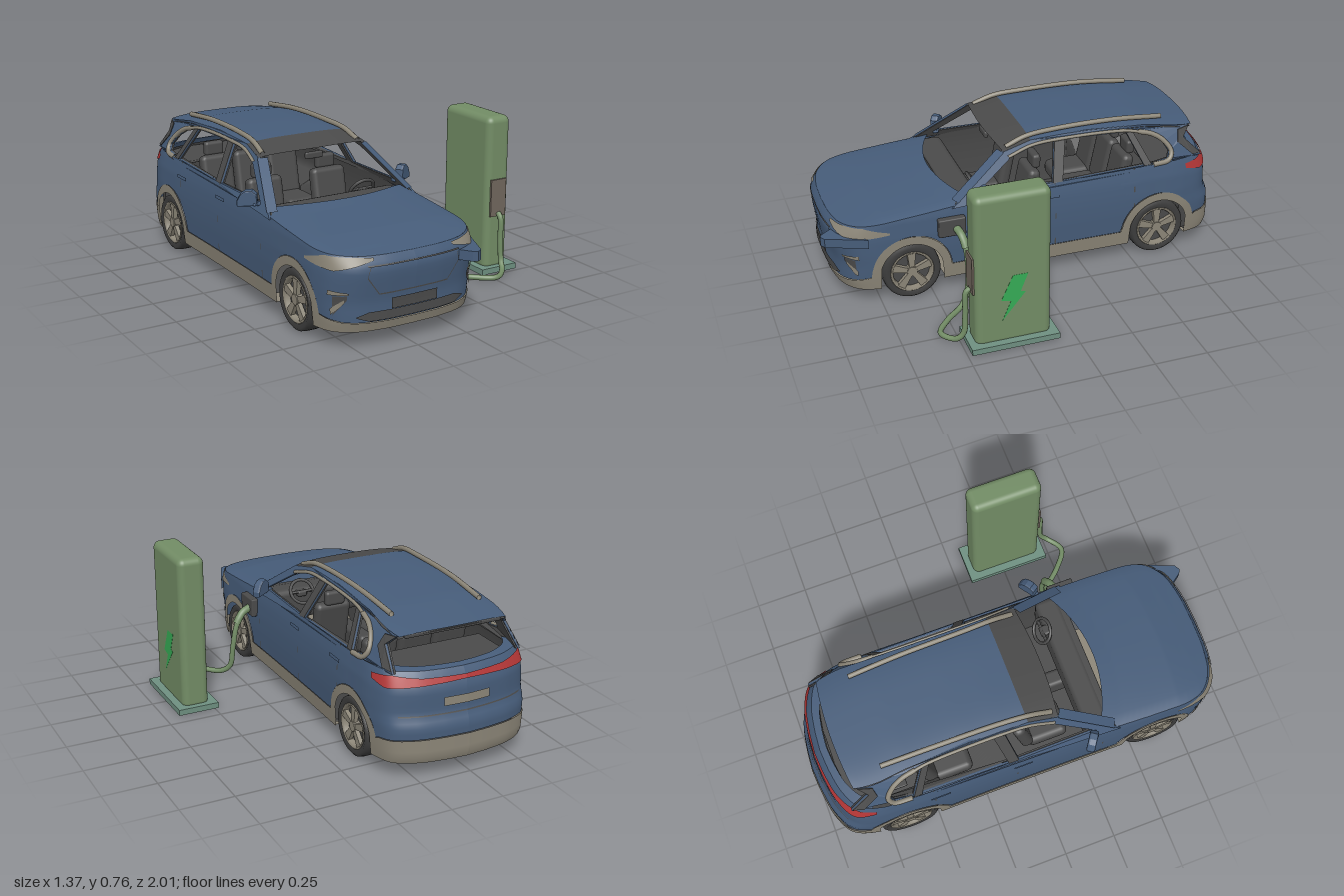
import * as THREE from 'three';
import { RoundedBoxGeometry } from 'three/addons/geometries/RoundedBoxGeometry.js';

const mat = (name, color) => new THREE.MeshStandardMaterial({ name, color, side: THREE.DoubleSide });
const V = (x, y, z) => new THREE.Vector3(x, y, z);

// piecewise linear lookup in [[key, value], ...]
function lookup(t, x) {
  if (x <= t[0][0]) return t[0][1];
  for (let k = 1; k < t.length; k++) if (x <= t[k][0])
    return t[k - 1][1] + (t[k][1] - t[k - 1][1]) * (x - t[k - 1][0]) / (t[k][0] - t[k - 1][0]);
  return t[t.length - 1][1];
}

// smooth grid surface from a function of u, v
function sheet(fn, nu, nv) {
  const pos = [], idx = [];
  for (let j = 0; j <= nv; j++) for (let i = 0; i <= nu; i++) pos.push(...fn(i / nu, j / nv));
  for (let j = 0; j < nv; j++) for (let i = 0; i < nu; i++) {
    const a = j * (nu + 1) + i, b = a + nu + 1;
    idx.push(a, a + 1, b + 1, a, b + 1, b);
  }
  const g = new THREE.BufferGeometry();
  g.setAttribute('position', new THREE.Float32BufferAttribute(pos, 3));
  g.setIndex(idx);
  g.computeVertexNormals();
  return g;
}

export function createModel() {
  const blue = mat('body blue', 0x465c79), tan = mat('cladding grey', 0x8b8577), dark = mat('interior dark', 0x4a4a4a);
  const rubber = mat('tyre', 0x3d3d3d), red = mat('tail light red', 0xb23636), green = mat('charger green', 0x728c65);
  const teal = mat('base teal', 0x6e8f80), bright = mat('bolt green', 0x36ab55), brown = mat('socket brown', 0x70665c);

  const model = new THREE.Group(), car = new THREE.Group(), charger = new THREE.Group();
  car.name = 'car'; charger.name = 'chargingStation';
  car.position.x = -0.235;
  model.add(car, charger);
  const add = (parent, name, geo, m, x = 0, y = 0, z = 0) => {
    const mesh = new THREE.Mesh(geo, m);
    mesh.name = name; mesh.position.set(x, y, z);
    parent.add(mesh);
    return mesh;
  };
  const pair = (name, geo, m) => { add(car, name + 'Left', geo, m); add(car, name + 'Right', geo, m).scale.x = -1; };
  const box = (w, h, d, r = 0.012) => new RoundedBoxGeometry(w, h, d, 2, r);
  const tube = (pts, r, n = 48) => new THREE.TubeGeometry(new THREE.CatmullRomCurve3(pts.map(p => V(...p))), n, r, 10);

  // half plan outline, nose to tail
  const N = 400;
  const H = new THREE.CatmullRomCurve3([[0, .96], [.15, .953], [.27, .925], [.345, .865], [.376, .78], [.385, .6], [.383, .2],
    [.383, -.2], [.385, -.6], [.374, -.8], [.335, -.91], [.24, -.965], [.12, -.99], [0, -1]].map(p => V(p[0], 0, p[1]))).getSpacedPoints(N);
  const iz = z => H.findIndex(p => p.z <= z);
  const ix = x => H.findIndex(p => p.x >= x);
  const ixRear = x => N - [...H].reverse().findIndex(p => p.x >= x);

  // body section rules over height, and edge lines over z
  const WX = [[.07, .965], [.15, .985], [.25, 1], [.33, 1], [.41, .985], [.47, .955], [.5, .935]];
  const ZF = [[.07, .97], [.12, .985], [.2, .982], [.32, 1], [.36, 1], [.41, .965]];
  const ZR = [[.07, .985], [.1, 1], [.24, 1], [.29, .975], [.4, .972], [.46, .945], [.5, .91]];
  const BELT = [[-1, .475], [-.8, .486], [-.5, .483], [-.2, .477], [.2, .47], [.4, .447], [.6, .43], [.85, .41], [.96, .398]];
  const CLAD = [[-1, .19], [-.85, .18], [-.78, .15], [.75, .15], [.9, .12], [.96, .115]];
  const P = (p, y, g = 0) => {
    const k = THREE.MathUtils.smoothstep(Math.abs(p.z), .6, .95);
    return [p.x * lookup(WX, y) * (1 + g), y, p.z * (1 + (lookup(p.z > 0 ? ZF : ZR, y) - 1) * k) * (1 + g)];
  };
  const axles = [.6, -.64];
  const arch = (z, R) => Math.max(0, ...axles.map(a => Math.abs(z - a) < R ? .14 + Math.sqrt(R * R - (z - a) ** 2) : 0));
  const belt = p => lookup(BELT, p.z);
  const sill = p => Math.max(.075, arch(p.z, .152));
  const cladTop = p => Math.max(lookup(CLAD, p.z), arch(p.z, .193));
  // strip lying on the body between outline indexes and two height rules
  const strip = (name, m, i0, i1, lo, hi, g = .006, nv = 2) => pair(name, sheet((u, v) => {
    const p = H[Math.round(i0 + (i1 - i0) * u)], a = lo(p, u), b = hi(p, u);
    return P(p, a + (b - a) * v, g);
  }, Math.max(2, Math.min(N, i1 - i0)), nv), m);
  const ramp = (...pts) => (p, u) => lookup(pts, u);

  // lower body and cladding
  strip('bodySide', blue, 0, N, cladTop, belt, 0, 12);
  strip('cladding', tan, 0, N, sill, cladTop, .006, 4);
  // hood with crown and bowed rear edge, rim below the rear window
  const hoodEnd = iz(.3), tailStart = iz(-.84);
  add(car, 'hood', sheet((u, v) => {
    const p = H[Math.round(hoodEnd * (1 - v))], s = 2 * u - 1, [x, y, z] = P(p, belt(p)), c = 1 - s * s;
    return [x * s, y + .022 * Math.sqrt(Math.max(0, c)) * Math.min(1, (.96 - p.z) * 4), z + .11 * c * (1 - v) ** 2];
  }, 28, 60), blue);
  pair('rearWindowRim', sheet((u, v) => {
    const p = H[Math.round(tailStart + (N - tailStart) * u)], [x, y, z] = P(p, belt(p));
    return [x * (1 - .13 * v), y + .006 * v, z * (1 - .035 * v)];
  }, 60, 2), blue);
  // underbody, cabin floor and lining, narrowed at the wheels
  const inner = (p, x, y) => arch(p.z, .16) && y < .31 ? Math.min(x, .262) : x;
  const floor = (i0, y0) => sheet((u, v) => {
    const p = H[Math.round(i0 + (N - i0) * v)], [x, y, z] = P(p, y0);
    return [(2 * u - 1) * inner(p, x, y), y, z];
  }, 2, N - i0);
  add(car, 'underbody', floor(0, .075), tan);
  const cabin = iz(.38);
  add(car, 'cabinFloor', floor(cabin, .088), dark);
  pair('cabinLining', sheet((u, v) => {
    const p = H[Math.round(cabin + (N - cabin) * u)], [x, y, z] = P(p, .088 + (belt(p) - .1) * v, -.05);
    return [inner(p, x, y), y, z];
  }, N - cabin, 8), dark);
  add(car, 'parcelShelf', box(.58, .012, .28, .005), dark, 0, .445, -.75);

  // greenhouse sides with open windows
  const poly = pts => new THREE.Shape(pts.map(p => new THREE.Vector2(...p)));
  const lean = (y, z) => .363 - (y - .47) * .52 - 1.25 * Math.max(0, -z - .7) ** 2;
  const sidePlate = (shape, depth, out) => {
    const g = new THREE.ExtrudeGeometry(shape, { depth, bevelEnabled: false }).rotateY(-Math.PI / 2);
    const a = g.attributes.position;
    for (let i = 0; i < a.count; i++) a.setX(i, a.getX(i) + lean(a.getY(i), a.getZ(i)) + out);
    g.computeVertexNormals();
    return g;
  };
  const frame = poly([[.4, .44], [.35, .475], [.12, .637], [-.02, .668], [-.3, .673], [-.6, .657], [-.7, .642], [-.83, .62], [-.79, .575], [-.885, .475], [-.5, .465], [.1, .455]]);
  frame.holes = [
    [[.28, .482], [.09, .607], [-.02, .638], [-.134, .646], [-.097, .477]],
    [[-.145, .477], [-.187, .648], [-.497, .637], [-.565, .484]],
    [[-.532, .634], [-.62, .607], [-.675, .572], [-.703, .525], [-.69, .497], [-.602, .485]],
  ].map(poly);
  pair('windowFrame', sidePlate(frame, .01, .004), blue);
  pair('windowFrameLining', sidePlate(frame, .008, -.008), dark);
  pair('centrePillar', sidePlate(poly([[-.097, .477], [-.145, .477], [-.187, .648], [-.134, .646]]), .004, .008), dark);
  pair('rearPillar', sidePlate(poly([[-.565, .484], [-.602, .485], [-.532, .634], [-.497, .637]]), .004, .008), dark);
  pair('rearGlassFin', sidePlate(poly([[-.765, .612], [-.83, .617], [-.79, .575], [-.88, .485], [-.83, .49], [-.755, .56]]), .004, .008), dark);
  const trim = (pts, r) => tube(pts.map(([z, y]) => [lean(y, z) + .005, y, z]), r);
  pair('windowTrim', trim([[.1, .612], [-.02, .645], [-.16, .653], [-.5, .643], [-.6, .62]], .008), tan);
  pair('quarterWindowTrim', trim([[-.56, .632], [-.63, .612], [-.685, .575], [-.714, .525], [-.695, .492], [-.61, .482]], .012), tan);
  // windscreen pillars facing forward
  pair('windscreenPillar', sheet((u, v) => {
    const z = .37 - .25 * u, y = .462 + .173 * u;
    return [lean(y, z) + .01 - .042 * v, y + .004 * v, z + .02 * v];
  }, 8, 2), blue);

  // roof, dark front band, lining and rails
  const EDGE = [[-.86, .617], [-.6, .657], [-.3, .671], [-.15, .672], [-.02, .668], [.13, .634]];
  const roof = (z0, z1, bow, drop = 0) => sheet((u, v) => {
    const s = 2 * u - 1, z = z0 + (z1 - z0) * v, y = lookup(EDGE, z);
    return [s * (lean(y, z) + .006), y + .012 * (1 - s ** 4) - drop, z + bow * v * (1 - s * s)];
  }, 20, 20);
  add(car, 'roof', roof(-.02, -.845, -.02), blue);
  add(car, 'roofLining', roof(-.02, -.84, -.015, .012), dark);
  add(car, 'windscreenBand', roof(-.02, .12, .02), dark);
  add(car, 'spoilerLip', box(.48, .018, .03, .006), dark, 0, .616, -.835);
  pair('roofRail', tube([[.25, .645, .1], [.242, .68, 0], [.234, .691, -.15], [.229, .689, -.45], [.222, .665, -.7]], .012), tan);

  // lights, grille, plates and seams
  strip('headlight', tan, ix(.19), iz(.7), ramp([0, .384], [.5, .346], [1, .36]), ramp([0, .394], [.3, .4], [.6, .404], [1, .37]));
  strip('tailLight', red, iz(-.8), ixRear(.2), ramp([0, .435], [.35, .414], [1, .422]), ramp([0, .458], [.5, .466], [1, .452]), .008);
  strip('lightBar', red, ixRear(.2), N, ramp([0, .422], [1, .43]), ramp([0, .452], [1, .448]), .008);
  strip('lowerGrille', dark, 0, ix(.265), ramp([0, .122], [.8, .122], [1, .14]), ramp([0, .162], [.8, .162], [1, .145]));
  strip('frontPlate', dark, 0, ix(.113), () => .165, () => .212, .009);
  strip('rearPlate', tan, ixRear(.11), N, () => .325, () => .365, .008);
  strip('noseLineTop', dark, 0, ix(.22), () => .36, () => .366, .003);
  strip('noseLineLow', dark, 0, ix(.165), () => .233, () => .239, .003);
  strip('noseLineSide', dark, ix(.165), ix(.225), ramp([0, .233], [1, .31]), ramp([0, .24], [1, .318]), .003);
  strip('noseLineCorner', dark, ix(.21), ix(.225), ramp([0, .358], [1, .31]), ramp([0, .366], [1, .32]), .003);
  strip('fogLampSurround', dark, ix(.298), ix(.345), ramp([0, .218], [1, .15]), ramp([0, .238], [1, .235]), .004);
  strip('fogLampBlade', tan, ix(.29), ix(.355), ramp([0, .243], [1, .24]), ramp([0, .252], [1, .262]), .008);
  strip('fogLamp', tan, ix(.308), ix(.35), ramp([0, .205], [1, .152]), ramp([0, .222], [1, .18]), .008);
  strip('rearBumperLine', dark, ixRear(.3), N, () => .285, () => .291, .003);
  for (const z of [.33, -.1, -.5]) strip('doorSeam', dark, iz(z), iz(z) + 1, p => Math.max(.15, cladTop(p)), belt, .002);
  for (const z of [-.03, -.43]) strip('doorHandle', blue, iz(z), iz(z - .09), () => .405, () => .42, .015);
  // open flap at the front corner
  const flap = poly([[.2, -.9], [.265, -.99], [.285, -1], [.31, -.985], [.385, -.8], [.33, -.84]]);
  add(car, 'openFlap', new THREE.ExtrudeGeometry(flap, { depth: .045, bevelEnabled: false }).rotateX(-Math.PI / 2), blue, 0, .31, 0);

  // door mirrors, swept back
  const mirror = new THREE.ExtrudeGeometry(poly([[-.035, .476], [.045, .472], [.046, .49], [.03, .52], [.01, .534], [-.015, .535], [-.032, .52]]),
    { depth: .02, bevelSize: .006, bevelThickness: .01, bevelSegments: 3 }).translate(0, 0, -.01).rotateY(.6).translate(.402, 0, .25);
  pair('doorMirror', mirror, blue);
  pair('mirrorStalk', box(.06, .014, .03, .005).translate(.365, .477, .27), blue);

  // wheels
  const tyre = new THREE.LatheGeometry([[.1, -.045], [.125, -.053], [.137, -.043], [.14, -.02], [.14, .02], [.137, .043], [.125, .053], [.1, .045]]
    .map(p => new THREE.Vector2(...p)), 40).rotateZ(Math.PI / 2);
  const rim = new THREE.LatheGeometry([[.09, -.03], [.09, .042], [.1, .051], [.105, .046], [.105, -.045]].map(p => new THREE.Vector2(...p)), 40).rotateZ(-Math.PI / 2);
  const spoke = new THREE.ExtrudeGeometry(poly([[-.011, .01], [.011, .01], [.02, .094], [-.02, .094]]), { depth: .02, bevelEnabled: false }).rotateY(Math.PI / 2);
  for (const z of axles) for (const s of [1, -1]) {
    const w = new THREE.Group();
    w.name = 'wheel'; w.position.set(s * .326, .14, z); w.scale.x = s;
    add(w, 'tyre', tyre, rubber);
    add(w, 'rim', rim, tan);
    add(w, 'brakeDisc', new THREE.CylinderGeometry(.095, .095, .04, 32).rotateZ(Math.PI / 2), dark);
    add(w, 'hub', new THREE.CylinderGeometry(.024, .028, .03, 20).rotateZ(-Math.PI / 2), tan, .035);
    for (let k = 0; k < 5; k++) add(w, 'spoke', spoke, tan, .026).rotation.x = k * Math.PI * .4;
    car.add(w);
  }

  // cabin furniture
  const seat = (x, z, w) => {
    const g = new THREE.Group();
    g.name = 'seat'; g.position.set(x, 0, z);
    add(g, 'cushion', box(w, .08, .2, .03), dark, 0, .23, .1);
    add(g, 'backrest', box(w, .27, .06, .025), dark, 0, .36, -.025).rotation.x = -.2;
    add(g, 'headrest', box(.1, .07, .04, .015), dark, 0, .52, -.07);
    car.add(g);
  };
  for (const x of [-.17, .17]) seat(x, 0, .18);
  for (const x of [-.18, 0, .18]) seat(x, -.48, .17);
  add(car, 'dashboard', box(.68, .16, .12, .03), dark, 0, .38, .31);
  add(car, 'cowl', box(.62, .02, .08, .008), dark, 0, .446, .345);
  add(car, 'console', box(.08, .12, .4, .02), dark, 0, .24, .1);
  add(car, 'rearViewMirror', box(.09, .032, .02, .008), dark, 0, .613, .125);
  add(car, 'steeringWheel', new THREE.TorusGeometry(.06, .008, 8, 28), dark, .19, .45, .235).rotation.x = .6;
  add(car, 'steeringColumn', box(.05, .03, .09, .01), dark, .19, .44, .27);
  add(car, 'steeringSpoke', box(.11, .014, .012, .004), dark, .19, .45, .235).rotation.x = .6;

  // charging station
  add(charger, 'base', new THREE.BoxGeometry(.2, .028, .41), teal, .58, .014, .275);
  add(charger, 'cabinet', new RoundedBoxGeometry(.13, .75, .35, 5, .032), green, .58, .381, .275);
  add(charger, 'socketPanel', new THREE.BoxGeometry(.086, .18, .012), brown, .578, .365, .452);
  const bolt = poly([[-.28, .355], [-.21, .355], [-.245, .268], [-.222, .262], [-.33, .13], [-.29, .225], [-.335, .235]]);
  add(charger, 'bolt', new THREE.ExtrudeGeometry(bolt, { depth: .004, bevelEnabled: false }).rotateY(Math.PI / 2), bright, .642);

  // cable and plug
  add(charger, 'cable', tube([[.58, .29, .455], [.58, .27, .475], [.58, .16, .48], [.58, .06, .49], [.565, .026, .52], [.49, .018, .57], [.4, .018, .51],
    [.32, .024, .42], [.286, .06, .385], [.274, .16, .37], [.255, .26, .37], [.225, .325, .375], [.17, .35, .39]], .013, 120), green);
  add(charger, 'cableGrip', tube([[.25, .285, .371], [.235, .31, .374], [.212, .335, .38], [.17, .35, .39]], .019, 20), green);
  add(charger, 'plug', box(.035, .09, .13, .006), dark, .16, .358, .41);
  return model;
}
